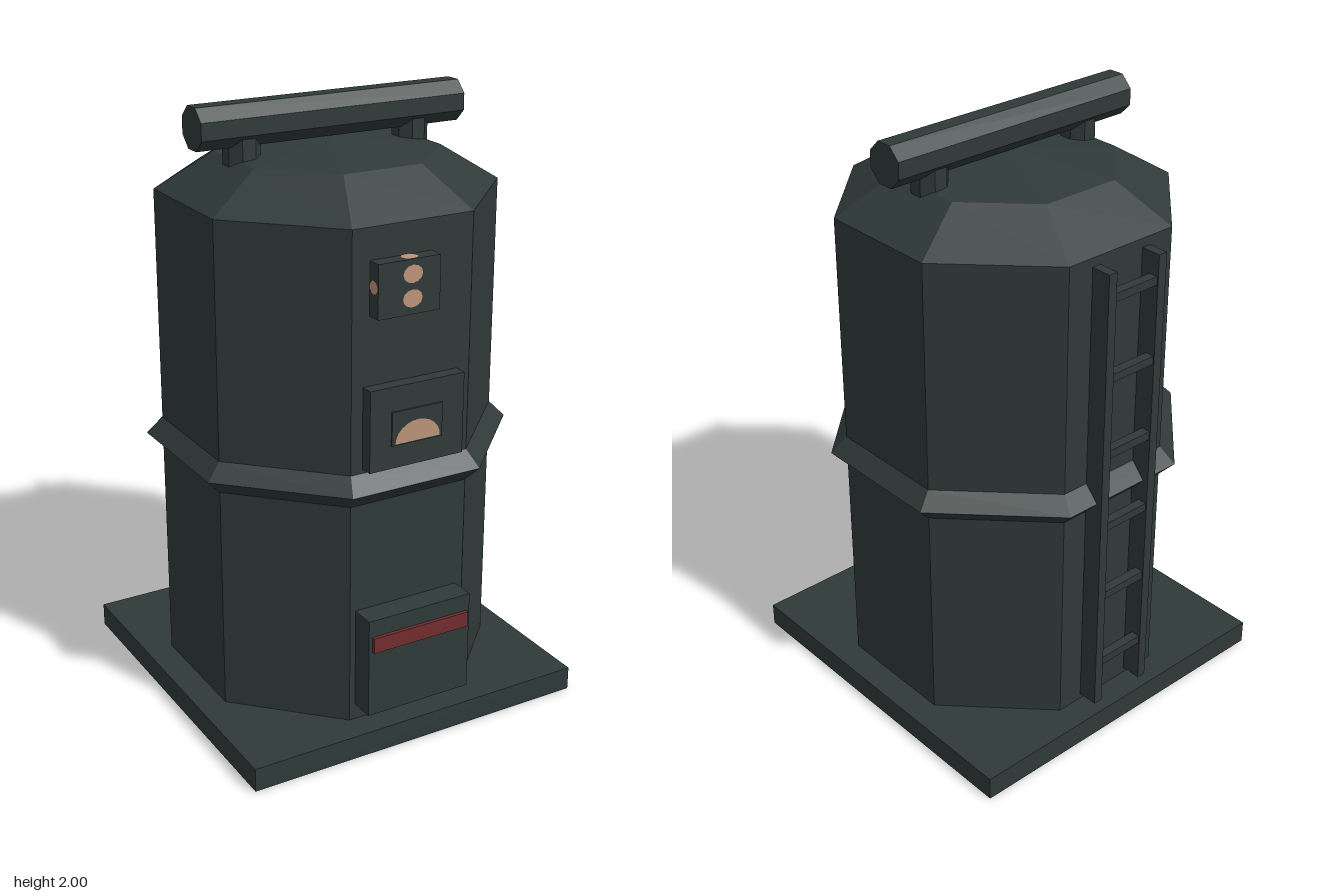
import * as THREE from 'three';

const mat = (name, color, extra = {}) => {
  const m = new THREE.MeshStandardMaterial({ color, flatShading: true, ...extra });
  m.name = name;
  return m;
};

export function createModel() {
  const group = new THREE.Group();
  const steel = mat('darkSteel', 0x2f3a39, { side: THREE.DoubleSide });
  const tan = mat('lampTan', 0xbc9478, { side: THREE.DoubleSide });
  const red = mat('signalRed', 0x722c2e);

  const add = (name, geometry, material = steel, parent = group) => {
    const mesh = new THREE.Mesh(geometry, material);
    mesh.name = name;
    parent.add(mesh);
    return mesh;
  };
  // Box given by its limits on each axis
  const box = (name, [x0, x1], [y0, y1], [z0, z1], material, parent) => {
    const mesh = add(name, new THREE.BoxGeometry(x1 - x0, y1 - y0, z1 - z0), material, parent);
    mesh.position.set((x0 + x1) / 2, (y0 + y1) / 2, (z0 + z1) / 2);
    return mesh;
  };
  // Octagons are sized by the distance to their flat sides
  const oct = (flat) => flat / Math.cos(Math.PI / 8);

  // Square base plate, hollow underneath
  const plate = new THREE.BoxGeometry(1.2, 0.08, 1.2);
  const index = Array.from(plate.index.array);
  index.splice(18, 6);
  plate.setIndex(index);
  plate.clearGroups();
  add('basePlate', plate).position.y = 0.04;

  // Eight-sided tank with a ridged belt and a low roof
  const profile = [
    [0.507, 0.05], [0.507, 0.835], [0.556, 0.887], [0.507, 0.94],
    [0.507, 1.71], [0.332, 1.825], [0, 1.866],
  ].map(([r, y]) => new THREE.Vector2(oct(r), y));
  add('tank', new THREE.LatheGeometry(profile, 8, Math.PI / 8));

  // Horizontal roof pipe on two posts
  const pipe = add('roofPipe',
    new THREE.CylinderGeometry(oct(0.066), oct(0.066), 0.935, 8, 1, false, Math.PI / 8));
  pipe.rotation.z = Math.PI / 2;
  pipe.position.y = 1.934;
  for (const s of [-1, 1]) {
    const post = add('pipePost',
      new THREE.CylinderGeometry(oct(0.054), oct(0.054), 0.14, 8, 1, false, Math.PI / 8));
    post.position.set(s * 0.303, 1.83, 0);
  }

  // Lamp box with round lights on its front, top and sides
  box('lampBox', [-0.15, 0.065], [1.44, 1.61], [0.49, 0.555]);
  const light = (x, y, z, rx, ry, sx, sy) => {
    const m = add('lampLight', new THREE.CircleGeometry(1, 12), tan);
    m.position.set(x, y, z);
    m.rotation.set(rx, ry, 0);
    m.scale.set(sx, sy, 1);
  };
  for (const y of [1.565, 1.49]) light(-0.032, y, 0.557, 0, 0, 0.034, 0.028);
  light(-0.03, 1.612, 0.531, -Math.PI / 2, 0, 0.029, 0.024);
  light(0.067, 1.534, 0.531, 0, Math.PI / 2, 0.023, 0.022);
  light(-0.152, 1.534, 0.531, 0, -Math.PI / 2, 0.023, 0.022);

  // Middle hatch with a half-round opening
  box('hatch', [-0.17, 0.165], [0.955, 1.22], [0.49, 0.55]);
  box('hatchInset', [-0.095, 0.085], [1.03, 1.14], [0.545, 0.555]);
  const half = add('hatchOpening', new THREE.CircleGeometry(1, 12, 0, Math.PI), tan);
  half.scale.set(0.08, 0.068, 1);
  half.position.set(-0.004, 1.035, 0.557);

  // Lower door with a red bar
  box('lowerDoor', [-0.19, 0.185], [0.135, 0.472], [0.49, 0.59]);
  box('redBar', [-0.178, 0.172], [0.363, 0.415], [0.585, 0.602], red);

  // Ladder on the back
  const ladder = new THREE.Group();
  ladder.name = 'ladder';
  group.add(ladder);
  for (const x of [-0.118, 0.086]) {
    box('ladderRail', [x, x + 0.032], [0.1, 1.68], [-0.576, -0.5], steel, ladder);
  }
  for (let i = 0; i < 6; i++) {
    const y = 0.26 + i * 0.267;
    box('ladderRung', [-0.1, 0.1], [y - 0.014, y + 0.014], [-0.572, -0.54], steel, ladder);
  }
  return group;
}
